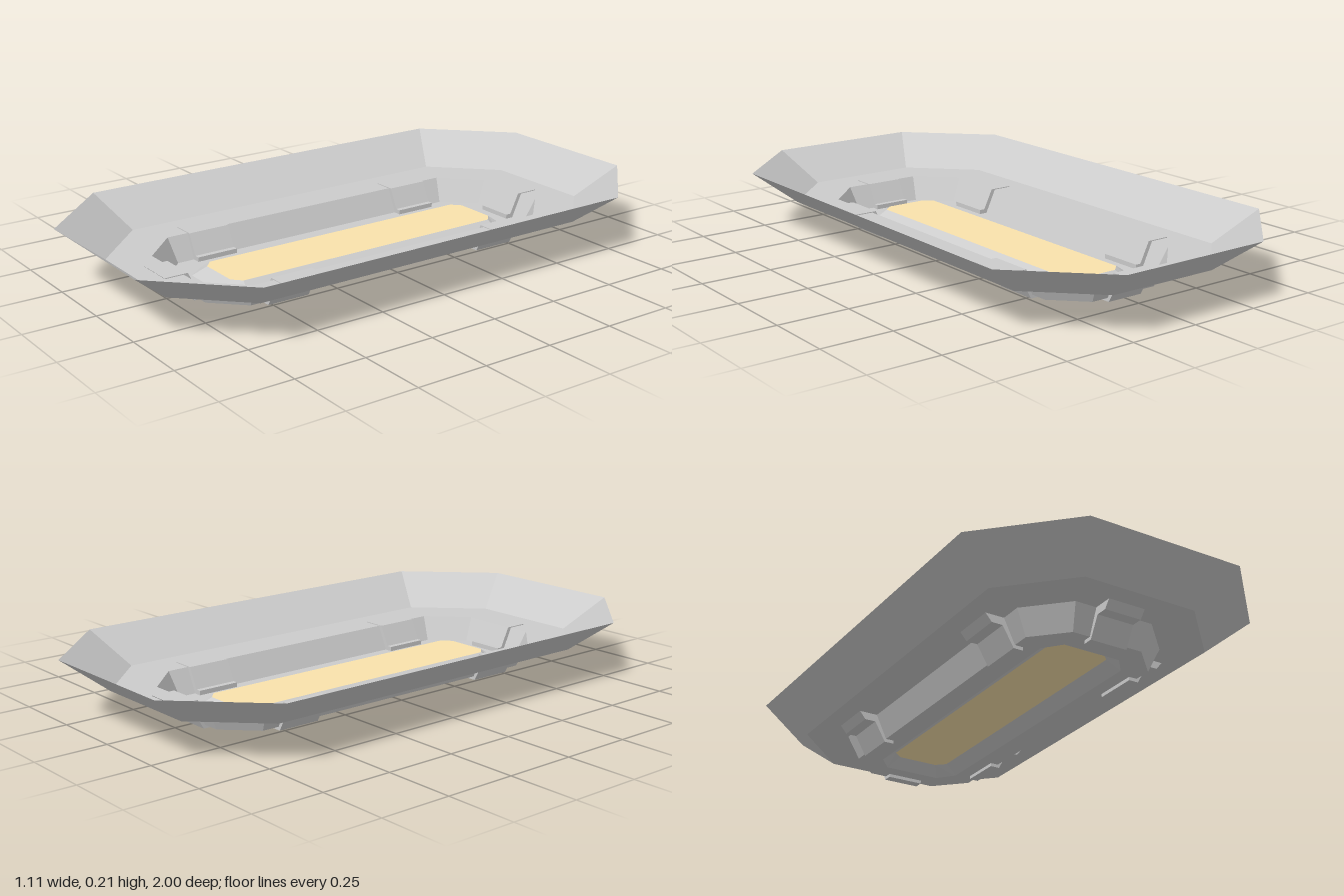
import * as THREE from 'three';

const grey = () => new THREE.MeshStandardMaterial({ color: 0xcccccc, flatShading: true, side: THREE.DoubleSide });

// Elongated octagon: half sizes hx, hz; corners cut at cx, cz
const octagon = ([y, hx, hz, cx, cz]) => [
  [hx, y, cz], [hx, y, -cz], [cx, y, -hz], [-cx, y, -hz],
  [-hx, y, -cz], [-hx, y, cz], [-cx, y, hz], [cx, y, hz],
];

function meshFrom(name, positions, material) {
  const geometry = new THREE.BufferGeometry();
  geometry.setAttribute('position', new THREE.Float32BufferAttribute(positions, 3));
  geometry.computeVertexNormals();
  const mesh = new THREE.Mesh(geometry, material);
  mesh.name = name;
  return mesh;
}

// Band of faces between an outer and an inner octagon, facing up
function band(name, outer, inner) {
  const a = octagon(outer), b = octagon(inner), positions = [];
  for (let i = 0; i < 8; i++) {
    const j = (i + 1) % 8;
    positions.push(...a[i], ...a[j], ...b[j], ...a[i], ...b[j], ...b[i]);
  }
  return meshFrom(name, positions, grey());
}

// Bent retaining clip, profile measured outward from the top edge of the well
function clip(name, width, x, z, angle) {
  const profile = [
    [0.07, 0.1], [0.045, 0.07], [0.005, 0.07], [-0.035, 0], [-0.07, 0],
    [-0.07, 0.028], [-0.05, 0.028], [-0.015, 0.1],
  ];
  const shape = new THREE.Shape(profile.map(([d, y]) => new THREE.Vector2(d, y)));
  const geometry = new THREE.ExtrudeGeometry(shape, { depth: width, bevelEnabled: false });
  geometry.translate(0, 0, -width / 2);
  const mesh = new THREE.Mesh(geometry, grey());
  mesh.name = name;
  mesh.position.set(x, 0, z);
  mesh.rotation.y = angle;
  return mesh;
}

export function createModel() {
  const group = new THREE.Group();
  group.name = 'recessedTray';

  // Shell rings from the outer lip to the panel: y, hx, hz, cx, cz
  const rings = [
    [0.21, 0.555, 1.0, 0.28, 0.725],
    [0.097, 0.415, 0.86, 0.205, 0.65],
    [0.097, 0.275, 0.72, 0.145, 0.59],
    [0.012, 0.235, 0.68, 0.13, 0.575],
    [0.012, 0.155, 0.595, 0.105, 0.535],
    [0.045, 0.108, 0.553, 0.075, 0.523],
  ];
  const names = ['outerSlope', 'upperLedge', 'wellWall', 'wellFloor', 'panelBezel'];
  names.forEach((name, i) => group.add(band(name, rings[i], rings[i + 1])));

  // Tan panel closing the centre
  const corners = octagon(rings[5]), positions = [];
  for (let i = 1; i < 7; i++) positions.push(...corners[0], ...corners[i], ...corners[i + 1]);
  const tan = grey();
  tan.color.set(0xf9e2ab);
  group.add(meshFrom('centrePanel', positions, tan));

  // Four side clips and two end clips
  for (const s of [1, -1]) {
    for (const z of [0.435, -0.435]) {
      group.add(clip('sideClip', 0.155, s * 0.275, z, s > 0 ? 0 : Math.PI));
    }
    group.add(clip('endClip', 0.135, 0, s * 0.72, -s * Math.PI / 2));
  }
  return group;
}
